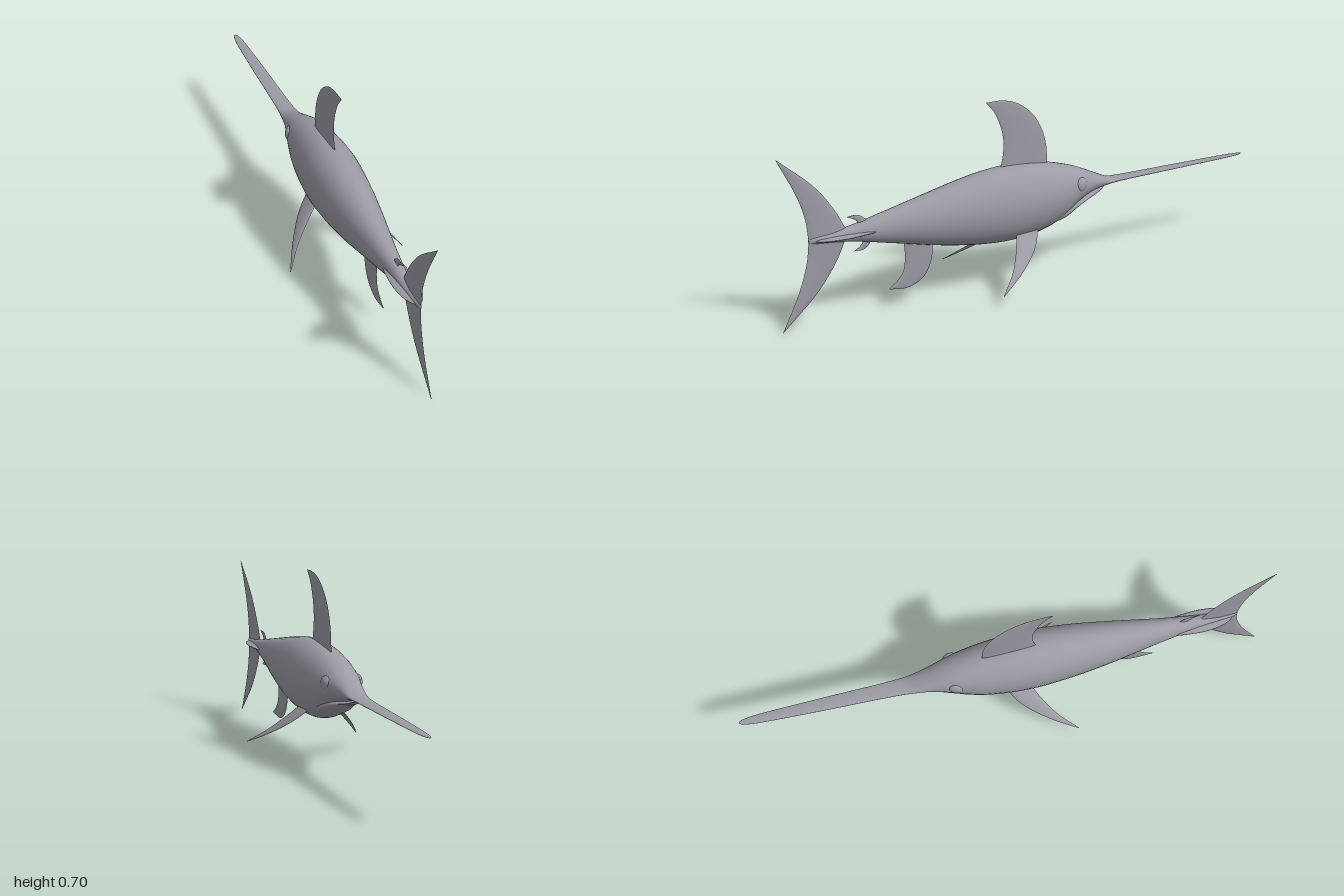
import * as THREE from 'three';
import { toCreasedNormals } from 'three/addons/utils/BufferGeometryUtils.js';

const V = (x, y, z) => new THREE.Vector3(x, y, z);

// Skins a list of closed rings (arrays of points), with both ends capped and faces outward.
function skin(rings) {
  const n = rings[0].length, pos = [], index = [];
  rings.forEach(r => r.forEach(p => pos.push(p.x, p.y, p.z)));
  for (let i = 0; i < rings.length - 1; i++) {
    for (let j = 0; j < n; j++) {
      const a = i * n + j, b = i * n + (j + 1) % n;
      index.push(a, b, a + n, b, b + n, a + n);
    }
  }
  const last = (rings.length - 1) * n;
  for (let j = 1; j < n - 1; j++) {
    index.push(0, j + 1, j, last, last + j, last + j + 1);
  }
  // signed volume tells whether the faces point inward
  let volume = 0;
  const at = k => new THREE.Vector3().fromArray(pos, index[k] * 3);
  for (let k = 0; k < index.length; k += 3) volume += at(k).dot(at(k + 1).cross(at(k + 2)));
  if (volume < 0) index.reverse();
  const geo = new THREE.BufferGeometry();
  geo.setAttribute('position', new THREE.Float32BufferAttribute(pos, 3));
  geo.setIndex(index);
  geo.computeVertexNormals();
  return geo;
}

// Smooth loft of ellipses along z; each station is [z, bottom, top, halfWidth].
function loft(stations, steps, sides) {
  const smooth = f => new THREE.CatmullRomCurve3(stations.map(f), false, 'catmullrom', 0.5);
  const heights = smooth(s => V(s[0], s[1], s[2]));
  const widths = smooth(s => V(s[0], s[3], 0));
  const rings = [];
  for (let i = 0; i <= steps; i++) {
    const h = heights.getPoint(i / steps), w = widths.getPoint(i / steps).y;
    const ring = [];
    for (let j = 0; j < sides; j++) {
      const a = j / sides * Math.PI * 2;
      ring.push(V(w * Math.cos(a), (h.y + h.z) / 2 + (h.z - h.y) / 2 * Math.sin(a), h.x));
    }
    rings.push(ring);
  }
  return skin(rings);
}

// Thin lens-shaped fin between a leading and a trailing edge, given as [z, y] points.
// slant 0 is upright; otherwise x = slant * (0.27 - y).
function fin(lead, trail, thick, slant = 0) {
  const edge = pts => new THREE.CatmullRomCurve3(
    pts.map(([z, y]) => V(slant * (0.27 - y), y, z)));
  const A = edge(lead), B = edge(trail);
  const normal = V(1, slant, 0).normalize();
  const rows = 20, sides = 16, rings = [];
  for (let i = 0; i <= rows; i++) {
    const s = i / rows, a = A.getPoint(s), b = B.getPoint(s), ring = [];
    for (let j = 0; j < sides; j++) {
      const t = j / sides * Math.PI * 2;
      ring.push(a.clone().lerp(b, (1 - Math.cos(t)) / 2)
        .addScaledVector(normal, thick * Math.sin(t) * (1 - 0.85 * s)));
    }
    rings.push(ring);
  }
  return toCreasedNormals(skin(rings), 0.7);
}

export function createModel() {
  const fish = new THREE.Group();
  fish.name = 'swordfish';
  const grey = new THREE.MeshStandardMaterial({ color: 0x9c9ba5 });
  grey.name = 'slate grey';
  const add = (name, geo) => {
    const mesh = new THREE.Mesh(geo, grey);
    mesh.name = name;
    fish.add(mesh);
    return mesh;
  };

  // Body running into the long flat bill
  add('bodyAndBill', loft([
    [-1, 0.317, 0.319, 0.002], [-0.985, 0.316, 0.32, 0.01], [-0.93, 0.315, 0.321, 0.017],
    [-0.8, 0.315, 0.322, 0.022], [-0.65, 0.315, 0.323, 0.026], [-0.5, 0.314, 0.325, 0.029],
    [-0.41, 0.313, 0.327, 0.032], [-0.36, 0.309, 0.334, 0.036], [-0.3, 0.299, 0.36, 0.045],
    [-0.25, 0.284, 0.384, 0.057], [-0.2, 0.26, 0.405, 0.071], [-0.15, 0.225, 0.421, 0.082],
    [-0.1, 0.198, 0.434, 0.091], [0, 0.173, 0.45, 0.101], [0.1, 0.168, 0.454, 0.104],
    [0.2, 0.175, 0.446, 0.098], [0.3, 0.19, 0.43, 0.088], [0.4, 0.21, 0.41, 0.074],
    [0.5, 0.234, 0.39, 0.058], [0.6, 0.258, 0.37, 0.042], [0.7, 0.282, 0.35, 0.029],
    [0.79, 0.297, 0.335, 0.02], [0.86, 0.304, 0.33, 0.013], [0.89, 0.308, 0.325, 0.003],
  ], 120, 32));

  // Lower jaw under the mouth line
  add('lowerJaw', loft([
    [-0.35, 0.304, 0.307, 0.003], [-0.31, 0.286, 0.296, 0.022], [-0.25, 0.268, 0.288, 0.04],
    [-0.19, 0.242, 0.284, 0.055], [-0.13, 0.212, 0.28, 0.066], [-0.06, 0.2, 0.28, 0.06],
  ], 24, 24));

  // Flat keel either side of the tail stalk
  add('tailKeel', loft([
    [0.58, 0.312, 0.32, 0.02], [0.65, 0.309, 0.323, 0.037], [0.7, 0.308, 0.324, 0.043],
    [0.76, 0.308, 0.324, 0.045], [0.82, 0.309, 0.323, 0.037], [0.86, 0.311, 0.321, 0.02],
    [0.872, 0.314, 0.318, 0.003],
  ], 30, 20));

  // Fins on the centre line
  add('dorsalFin', fin(
    [[-0.09, 0.41], [-0.078, 0.53], [-0.035, 0.62], [0.035, 0.68], [0.1, 0.702], [0.17, 0.705]],
    [[0.12, 0.43], [0.103, 0.5], [0.102, 0.56], [0.118, 0.62], [0.142, 0.668], [0.172, 0.702]], 0.007));
  add('analFin', fin(
    [[0.4, 0.225], [0.408, 0.15], [0.44, 0.095], [0.5, 0.067], [0.58, 0.074]],
    [[0.52, 0.25], [0.515, 0.18], [0.525, 0.13], [0.55, 0.1], [0.582, 0.077]], 0.006));
  add('upperTailLobe', fin(
    [[0.74, 0.325], [0.785, 0.41], [0.86, 0.51], [1, 0.632]],
    [[0.89, 0.318], [0.9, 0.4], [0.93, 0.49], [1, 0.63]], 0.007));
  add('lowerTailLobe', fin(
    [[0.74, 0.318], [0.785, 0.225], [0.86, 0.125], [1, 0]],
    [[0.89, 0.318], [0.9, 0.24], [0.93, 0.145], [1, 0.002]], 0.007));
  add('upperFinlet', fin(
    [[0.655, 0.345], [0.675, 0.365], [0.7, 0.38], [0.74, 0.38]],
    [[0.705, 0.335], [0.7, 0.352], [0.715, 0.366], [0.74, 0.378]], 0.004));
  add('lowerFinlet', fin(
    [[0.645, 0.29], [0.655, 0.265], [0.675, 0.248], [0.715, 0.247]],
    [[0.69, 0.295], [0.682, 0.277], [0.693, 0.262], [0.715, 0.249]], 0.004));

  // Paired side fins and eyes
  for (const side of [1, -1]) {
    const label = side > 0 ? 'left' : 'right';
    add(label + 'PectoralFin', fin(
      [[-0.02, 0.222], [0.035, 0.158], [0.13, 0.097], [0.235, 0.048]],
      [[0.075, 0.222], [0.11, 0.168], [0.165, 0.105], [0.236, 0.05]], 0.007, side));
    const eye = add(label + 'Eye', new THREE.SphereGeometry(0.028, 24, 16));
    eye.scale.x = 0.6;
    eye.position.set(side * 0.06, 0.345, -0.2);
    eye.rotation.y = side * 0.3;
  }
  return fish;
}
